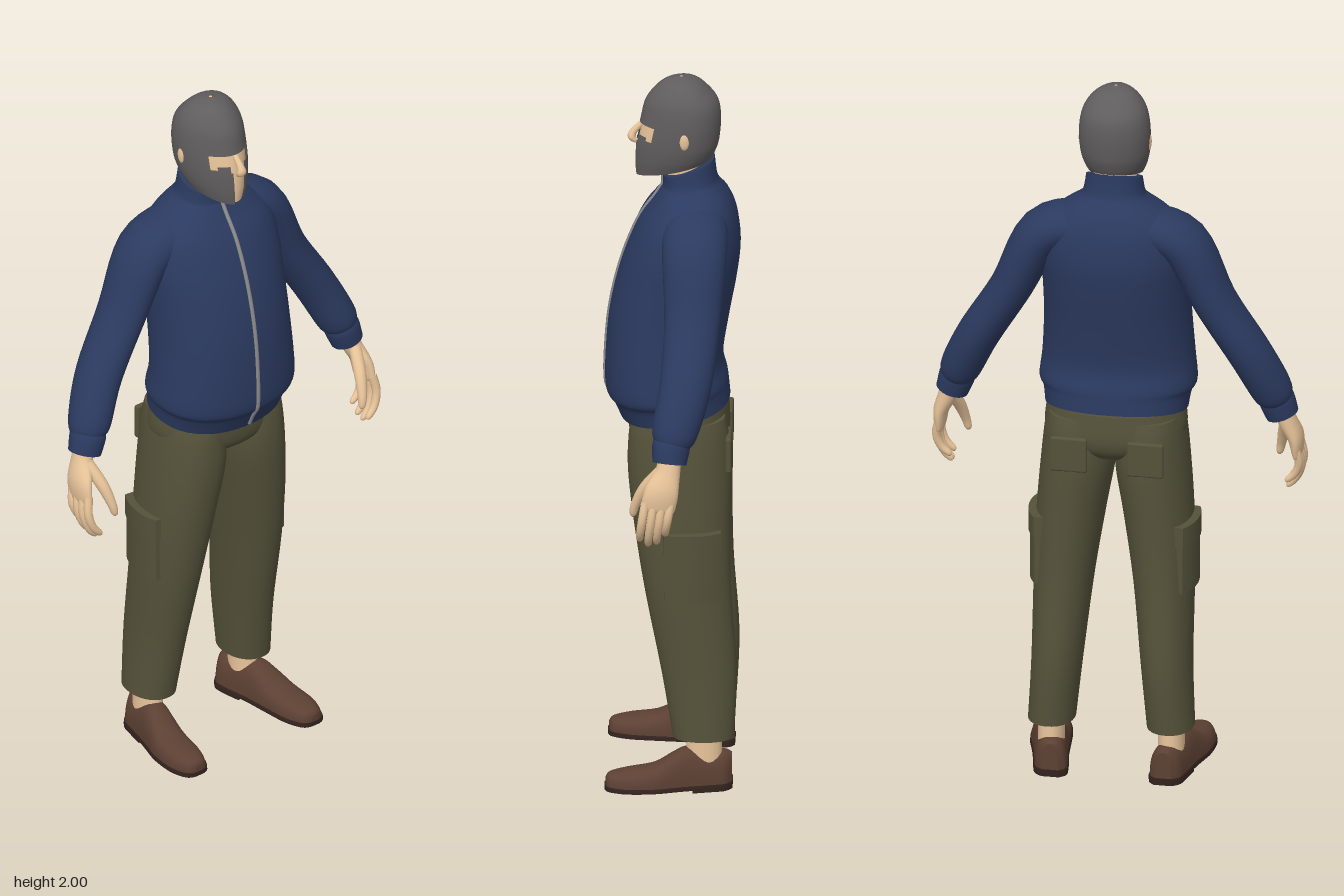
import * as THREE from 'three';
import { RoundedBoxGeometry } from 'three/addons/geometries/RoundedBoxGeometry.js';

const mat = (color) => new THREE.MeshStandardMaterial({ color });
const M = {
  jacket: mat(0x2b3a60), trousers: mat(0x55523a), skin: mat(0xe8c49a), helmet: mat(0x605d5e),
  shoe: mat(0x5c4033), sole: mat(0x33231e), zip: mat(0x8a8a8a),
};
M.helmet.side = THREE.DoubleSide;

// Catmull-Rom smoothing of a list of number rows
function smooth(rows, steps) {
  const out = [], at = (i) => rows[Math.min(rows.length - 1, Math.max(0, i))];
  for (let i = 0; i < rows.length - 1; i++) {
    for (let s = 0; s < steps; s++) {
      const t = s / steps;
      out.push(at(i).map((b, k) => {
        const a = at(i - 1)[k], c = at(i + 1)[k], d = at(i + 2)[k];
        return b + 0.5 * t * (c - a + t * (2 * a - 5 * b + 4 * c - d + t * (3 * (b - c) + d - a)));
      }));
    }
  }
  out.push(rows[rows.length - 1]);
  return out;
}

// Surface through rings of points, capped at both ends, always facing outward
function skin(rings, skip = null, capped = true) {
  const n = rings[0].length, pts = rings.flat(), idx = [];
  for (let i = 0; i < rings.length - 1; i++) {
    for (let j = 0; j < n; j++) {
      const a = i * n + j, b = i * n + (j + 1) % n, c = a + n, d = b + n;
      if (skip && skip(pts[a].clone().add(pts[d]).multiplyScalar(0.5))) continue;
      idx.push(a, c, b, b, c, d);
    }
  }
  if (capped) {
    [rings[0], rings[rings.length - 1]].forEach((ring, end) => {
      const mid = ring.reduce((s, p) => s.add(p), new THREE.Vector3()).divideScalar(n);
      const base = pts.length;
      pts.push(...ring, mid);
      for (let j = 0; j < n; j++) {
        const a = base + j, b = base + (j + 1) % n;
        idx.push(...(end ? [base + n, b, a] : [base + n, a, b]));
      }
    });
  }
  let volume = 0;
  const cross = new THREE.Vector3();
  for (let i = 0; i < idx.length; i += 3)
    volume += pts[idx[i]].dot(cross.crossVectors(pts[idx[i + 1]], pts[idx[i + 2]]));
  if (volume < 0) idx.reverse();
  const g = new THREE.BufferGeometry().setFromPoints(pts);
  g.setIndex(idx);
  g.computeVertexNormals();
  return g;
}

// Level rings from rows [y, x, halfWidth, zFront, zBack, tilt]
function levelRings(rows, { n = 48, power = 2, egg = 0, side = 1 } = {}) {
  const bend = (v) => Math.sign(v) * Math.abs(v) ** (2 / power);
  return rows.map(([y, x, rx, zf, zb, tilt = 0]) => Array.from({ length: n }, (_, j) => {
    const t = (j + 0.5) / n * Math.PI * 2, s = bend(Math.sin(t)), c = bend(Math.cos(t));
    const dz = s * (zf - zb) / 2;
    return new THREE.Vector3(side * (x + rx * c * (1 - egg * s)), y + tilt * dz, (zf + zb) / 2 + dz);
  }));
}

// Tapered limb along rows [x, y, z, thickness, depth]
function limb(rows, side = 1, n = 20, steps = 5) {
  const path = smooth(rows, steps), Z = new THREE.Vector3(0, 0, 1);
  const pos = path.map((r) => new THREE.Vector3(side * r[0], r[1], r[2]));
  return skin(path.map((r, i) => {
    const t = pos[Math.min(i + 1, pos.length - 1)].clone().sub(pos[Math.max(i - 1, 0)]).normalize();
    const a = Z.clone().cross(t).normalize(), b = t.clone().cross(a);
    return Array.from({ length: n }, (_, j) => {
      const q = j / n * Math.PI * 2;
      return pos[i].clone().addScaledVector(a, r[3] * Math.cos(q)).addScaledVector(b, r[4] * Math.sin(q));
    });
  }));
}

// Cross-sections of a shoe along z, rows [z, x, halfWidth, height]
function shoe(rows, side, y0, grow, height) {
  return skin(rows.map(([z, x, w, h]) => Array.from({ length: 28 }, (_, j) => {
    const t = j / 28 * Math.PI * 2, c = Math.cos(t), s = Math.max(0, Math.sin(t));
    const wide = Math.sign(c) * Math.abs(c) ** 0.75 * (w + grow);
    return height
      ? new THREE.Vector3(side * (x + wide), y0 + (Math.sin(t) > 0.01 ? height : 0), z * (1 + grow * 5))
      : new THREE.Vector3(side * (x + wide), y0 + h * s ** 0.8, z);
  })));
}

// Patch bent around a leg, facing +x
function patch(w, h, d, radius) {
  const g = new THREE.BoxGeometry(w, h, d, 1, 1, 10), p = g.attributes.position;
  for (let i = 0; i < p.count; i++) {
    const z = p.getZ(i);
    p.setX(i, p.getX(i) - radius * 0.7 * (1 - Math.sqrt(1 - (z / radius) ** 2)));
  }
  g.computeVertexNormals();
  return g;
}

export function createModel() {
  const model = new THREE.Group();
  const add = (name, geometry, material, x = 0, y = 0, z = 0) => {
    const m = new THREE.Mesh(geometry, material);
    m.name = name;
    m.position.set(x, y, z);
    model.add(m);
    return m;
  };

  // Jacket body with hem band and standing collar
  const torso = smooth([
    [1.055, 0, 0.194, 0.145, -0.152, -0.16], [1.098, 0, 0.201, 0.166, -0.148, -0.13],
    [1.125, 0, 0.214, 0.184, -0.145, -0.1], [1.2, 0, 0.207, 0.185, -0.133, -0.03],
    [1.32, 0, 0.2, 0.175, -0.15, 0], [1.43, 0, 0.2, 0.153, -0.17, 0],
    [1.52, 0, 0.203, 0.125, -0.18, 0], [1.6, 0, 0.19, 0.09, -0.172, 0],
    [1.65, 0, 0.15, 0.055, -0.155, 0], [1.685, 0, 0.1, 0.035, -0.13, -0.05],
    [1.703, 0, 0.084, 0.03, -0.117, -0.15], [1.745, 0, 0.076, 0.03, -0.11, -0.36],
  ], 5);
  add('jacketBody', skin(levelRings(torso, { power: 2.2 })), M.jacket);
  const zipPath = torso.filter((_, i) => i % 3 === 1)
    .map(([y, , , zf, zb, tilt]) => [0, y + tilt * (zf - zb) / 2, zf, 0.006, 0.005]);
  add('zipper', limb(zipPath, 1, 8, 2), M.zip);

  // Head, neck and open-faced helmet
  const headRows = smooth([
    [1.745, 0, 0.072, 0.104, -0.104, -0.25], [1.775, 0, 0.084, 0.107, -0.112, -0.12],
    [1.82, 0, 0.093, 0.103, -0.122, 0], [1.88, 0, 0.095, 0.09, -0.127, 0],
    [1.93, 0, 0.088, 0.078, -0.12, 0], [1.965, 0, 0.071, 0.054, -0.094, 0],
    [1.99, 0, 0.043, 0.024, -0.064, 0], [2.0, 0, 0.004, -0.016, -0.024, 0],
  ], 6);
  const inFaceOpening = ({ x, y, z }) => z > 0 && (
    (Math.abs(x) < 0.064 && y > 1.84 - 0.1 * Math.abs(x) && y < 1.868)
    || (y <= 1.845 && Math.abs(x) < 0.012 + Math.max(0, y - 1.73) * 0.09));
  add('helmet', skin(levelRings(headRows, { n: 96, egg: 0.18 }), inFaceOpening, false), M.helmet);
  const faceRows = headRows.slice(0, -6)
    .map(([y, x, rx, zf, zb, tilt]) => [y, x, rx - 0.007, zf - 0.008, zb + 0.008, tilt]);
  add('head', skin(levelRings(faceRows, { egg: 0.18 })), M.skin);
  add('nose', limb([[0, 1.865, 0.085, 0.008, 0.008], [0, 1.84, 0.108, 0.01, 0.01],
    [0, 1.823, 0.114, 0.014, 0.011], [0, 1.81, 0.1, 0.009, 0.006]], 1, 12), M.skin);
  add('neck', skin(levelRings([[1.66, 0, 0.06, 0.02, -0.09], [1.8, 0, 0.058, 0.03, -0.085]])), M.skin);

  // Trouser seat
  add('trouserSeat', skin(levelRings(smooth([
    [0.935, 0, 0.1, 0.085, -0.12], [0.96, 0, 0.165, 0.112, -0.142],
    [1.0, 0, 0.193, 0.123, -0.152], [1.07, 0, 0.187, 0.128, -0.146]], 4), { power: 2.2 })), M.trousers);

  for (const side of [1, -1]) {
    const label = side > 0 ? 'left' : 'right';

    // Sleeve and cuff
    add(label + 'Sleeve', limb([
      [0.08, 1.615, -0.06, 0.055, 0.085], [0.195, 1.567, -0.06, 0.066, 0.088],
      [0.28, 1.4, -0.056, 0.058, 0.076], [0.37, 1.25, -0.04, 0.058, 0.07],
      [0.425, 1.135, -0.012, 0.056, 0.062], [0.438, 1.1, -0.004, 0.044, 0.047]], side, 28), M.jacket);
    add(label + 'Cuff', limb([[0.434, 1.112, -0.004, 0.047, 0.049], [0.44, 1.095, -0.002, 0.049, 0.051],
      [0.453, 1.055, 0.002, 0.045, 0.046]], side, 28), M.jacket);

    // Hand with relaxed fingers
    add(label + 'Palm', limb([
      [0.452, 1.08, 0, 0.026, 0.031], [0.466, 1.035, 0.006, 0.026, 0.034],
      [0.486, 0.985, 0.022, 0.021, 0.046], [0.49, 0.94, 0.032, 0.015, 0.046],
      [0.49, 0.93, 0.034, 0.009, 0.04]], side), M.skin);
    [0.93, 1.05, 1, 0.8].forEach((k, i) => {
      const z = 0.066 - 0.023 * i;
      add(label + 'Finger' + (i + 1), limb([
        [0.49, 0.955, z, 0.012, 0.012], [0.498, 0.95 - 0.045 * k, z + 0.008, 0.012, 0.012],
        [0.487, 0.95 - 0.09 * k, z + 0.014, 0.011, 0.011],
        [0.466, 0.95 - 0.117 * k, z + 0.016, 0.009, 0.009],
        [0.458, 0.95 - 0.122 * k, z + 0.016, 0.004, 0.004]], side, 10, 3), M.skin);
    });
    add(label + 'Thumb', limb([
      [0.464, 1.035, 0.025, 0.018, 0.018], [0.446, 0.98, 0.068, 0.017, 0.017],
      [0.434, 0.93, 0.093, 0.013, 0.013], [0.428, 0.9, 0.1, 0.01, 0.01],
      [0.427, 0.89, 0.1, 0.004, 0.004]], side, 12, 4), M.skin);

    // Trouser leg, cargo pocket with flap, and back pocket
    add(label + 'TrouserLeg', skin(levelRings(smooth([
      [0.15, 0.163, 0.064, 0, -0.166], [0.33, 0.15, 0.069, 0.03, -0.173],
      [0.56, 0.137, 0.081, 0.075, -0.158], [0.75, 0.12, 0.093, 0.105, -0.155],
      [0.9, 0.102, 0.1, 0.122, -0.157], [1.0, 0.098, 0.094, 0.12, -0.15],
      [1.05, 0.095, 0.088, 0.11, -0.14]], 5), { power: 2.15, side })), M.trousers);
    const turn = side > 0 ? 0.12 : Math.PI - 0.12;
    add(label + 'CargoPocket', patch(0.026, 0.19, 0.15, 0.13), M.trousers, side * 0.216, 0.65, -0.055)
      .rotation.y = turn;
    add(label + 'CargoFlap', patch(0.03, 0.06, 0.156, 0.13), M.trousers, side * 0.218, 0.722, -0.055)
      .rotation.y = turn;
    add(label + 'BackPocket', new RoundedBoxGeometry(0.1, 0.1, 0.016, 2, 0.006), M.trousers,
      side * 0.105, 0.955, -0.15);

    // Ear
    add(label + 'Ear', new THREE.SphereGeometry(1, 16, 12), M.skin, side * 0.092, 1.845, -0.03)
      .scale.set(0.008, 0.026, 0.014);

    // Ankle, shoe, sole and heel
    add(label + 'Ankle', skin(levelRings([
      [0.06, 0.165, 0.036, -0.035, -0.135], [0.2, 0.163, 0.036, -0.04, -0.13]], { side })), M.skin);
    const rows = smooth([
      [0.18, 0.2, 0.01, 0.025], [0.168, 0.2, 0.033, 0.038], [0.12, 0.198, 0.051, 0.048],
      [0.05, 0.192, 0.054, 0.06], [0, 0.183, 0.05, 0.088], [-0.04, 0.175, 0.047, 0.104],
      [-0.1, 0.163, 0.046, 0.092], [-0.14, 0.157, 0.042, 0.09], [-0.16, 0.155, 0.022, 0.082]], 4);
    add(label + 'Shoe', shoe(rows, side, 0.014, 0, 0), M.shoe);
    add(label + 'Sole', shoe(rows, side, 0.008, 0.003, 0.012), M.sole);
    add(label + 'Heel', shoe(rows.filter((r) => r[0] < -0.05), side, 0, 0.002, 0.018), M.sole);
  }
  return model;
}
